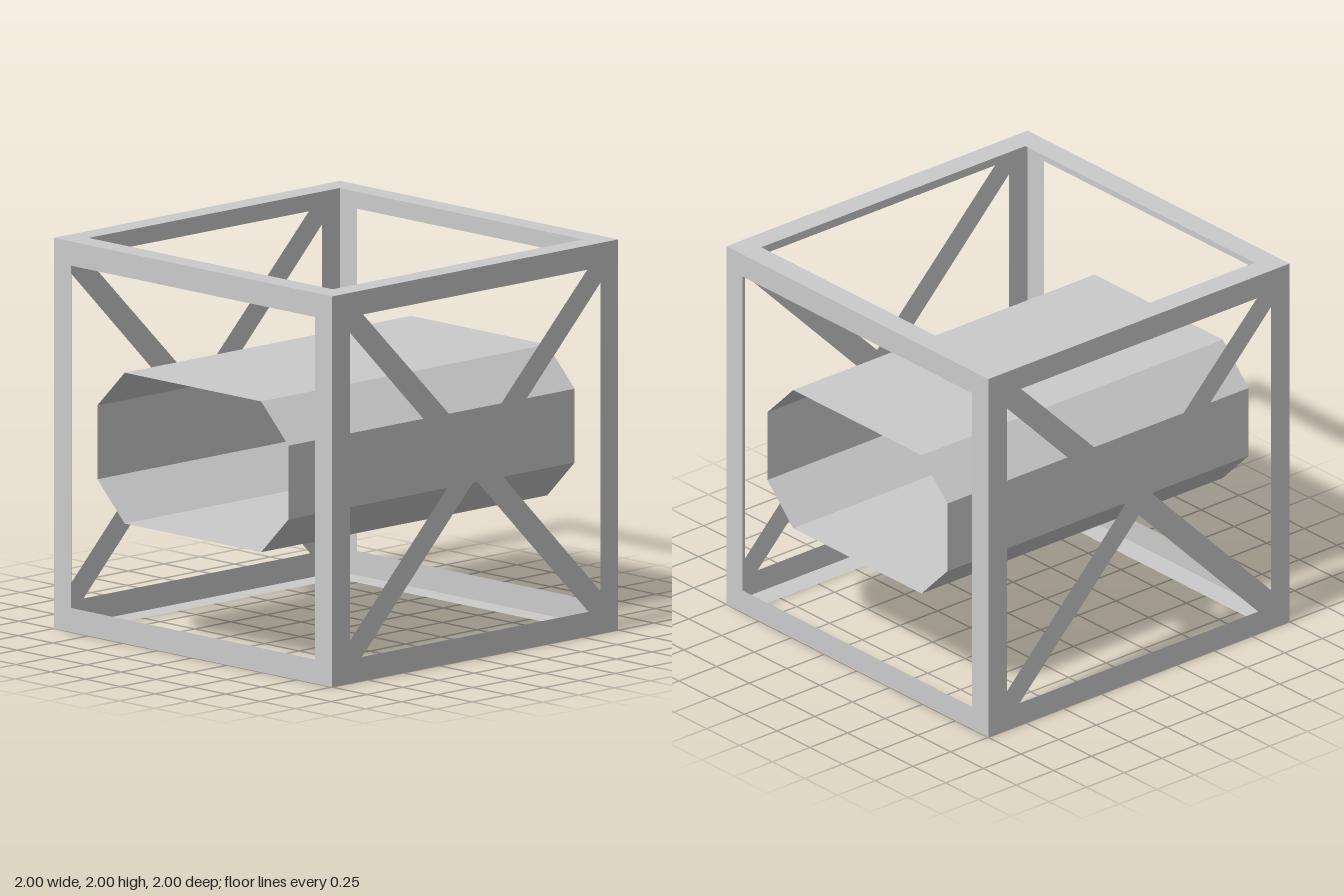
import * as THREE from 'three';

const material = new THREE.MeshStandardMaterial({ color: 0xcccccc, flatShading: true, side: THREE.DoubleSide });

// Flat 2 x 2 panel centred on the origin, with polygonal windows cut out
function panelGeometry(windows) {
  const toPoints = (list) => list.map(([x, y]) => new THREE.Vector2(x, y));
  const shape = new THREE.Shape(toPoints([[-1, -1], [1, -1], [1, 1], [-1, 1]]));
  for (const w of windows) shape.holes.push(new THREE.Path(toPoints(w)));
  return new THREE.ShapeGeometry(shape);
}

// Open tube along z, swept from a closed cross-section
function tubeGeometry(section, halfLength) {
  const positions = [];
  section.forEach(([x0, y0], i) => {
    const [x1, y1] = section[(i + 1) % section.length];
    const a = [x0, y0, halfLength], b = [x0, y0, -halfLength];
    const c = [x1, y1, -halfLength], d = [x1, y1, halfLength];
    positions.push(...a, ...b, ...c, ...a, ...c, ...d);
  });
  const geometry = new THREE.BufferGeometry();
  geometry.setAttribute('position', new THREE.Float32BufferAttribute(positions, 3));
  geometry.computeVertexNormals();
  return geometry;
}

export function createModel() {
  const model = new THREE.Group();
  model.name = 'framedTube';

  const r = 0.876; // half size of the windows
  const openPanel = panelGeometry([[[-r, -r], [r, -r], [r, r], [-r, r]]]);

  // Cross-braced panel: four triangular windows around an X
  const c = 0.008, g = 0.09; // height of the crossing, half gap between windows
  const bracedPanel = panelGeometry([
    [[0, c + g], [0.783, r], [-0.783, r]],
    [[0, c - g], [-0.792, -r], [0.792, -r]],
    [[g, c], [r, -0.783], [r, 0.797]],
    [[-g, c], [-r, 0.797], [-r, -0.783]],
  ]);

  // Six thin panels forming the cube frame
  const q = Math.PI / 2;
  const panels = [
    ['frontFrame', openPanel, [0, 0, 1], [0, 0, 0]],
    ['backFrame', openPanel, [0, 0, -1], [0, Math.PI, 0]],
    ['topFrame', openPanel, [0, 1, 0], [-q, 0, 0]],
    ['bottomFrame', openPanel, [0, -1, 0], [q, 0, 0]],
    ['leftBracedFrame', bracedPanel, [1, 0, 0], [0, q, 0]],
    ['rightBracedFrame', bracedPanel, [-1, 0, 0], [0, -q, 0]],
  ];
  for (const [name, geometry, [x, y, z], rotation] of panels) {
    const mesh = new THREE.Mesh(geometry, material);
    mesh.name = name;
    mesh.position.set(x, y + 1, z);
    mesh.rotation.set(...rotation);
    model.add(mesh);
  }

  // Open eight-sided tube running from front to back
  const w = 0.687, h = 0.386, cut = 0.197;
  const section = [
    [w - cut, -h], [w, -h + cut], [w, h - cut], [w - cut, h],
    [-w + cut, h], [-w, h - cut], [-w, -h + cut], [-w + cut, -h],
  ];
  const tube = new THREE.Mesh(tubeGeometry(section, 1), material);
  tube.name = 'octagonalTube';
  tube.position.y = 1;
  model.add(tube);

  return model;
}
